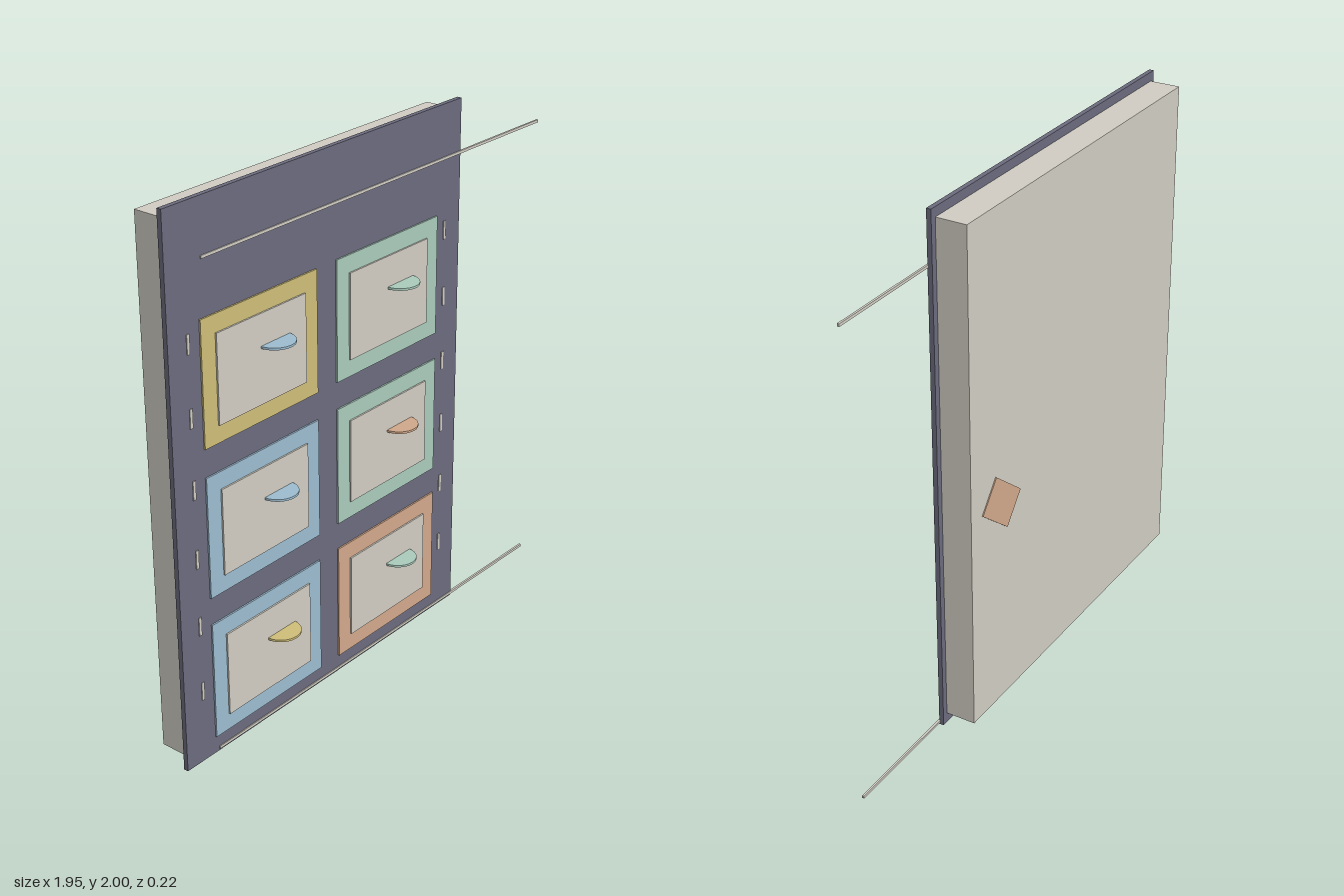
import * as THREE from 'three';

const material = (name, color) => {
  const m = new THREE.MeshStandardMaterial({ color });
  m.name = name;
  return m;
};

export function createModel() {
  const model = new THREE.Group();
  model.name = 'drawerBook';

  const slate = material('slate', 0x6b6b7e);
  const cream = material('cream', 0xd2cec4);
  const yellow = material('yellow', 0xd0bf7a);
  const green = material('green', 0xabccbd);
  const blue = material('blue', 0x9dbdd0);
  const orange = material('orange', 0xd2a98b);

  // Box given by its x, y centre, size and z range
  const slab = (name, mat, x, y, w, h, z0, z1, parent = model) => {
    const mesh = new THREE.Mesh(new THREE.BoxGeometry(w, h, z1 - z0), mat);
    mesh.position.set(x, y, (z0 + z1) / 2);
    mesh.name = name;
    parent.add(mesh);
    return mesh;
  };

  // Page block and front cover
  slab('pageBlock', cream, -0.239, 1.003, 1.432, 1.925, -0.105, 0.01);
  slab('cover', slate, -0.2375, 1, 1.475, 2, 0.01, 0.028);

  // Ribbons reaching past the cover's edge
  for (const y of [1.805, 0.012]) {
    slab('ribbon', cream, 0.0775, y, 1.795, 0.01, 0.024, 0.032);
  }

  // Stitches down both sides
  for (const x of [-0.888, 0.413]) {
    for (let i = 0; i < 6; i++) {
      slab('stitch', cream, x, 1.54 - i * 0.2525, 0.012, 0.068, 0.026, 0.031);
    }
  }

  // Half-disc pull tab lying flat, round side forward
  const tabGeometry = new THREE.CylinderGeometry(0.07, 0.07, 0.008, 32, 1, false, -Math.PI / 2, Math.PI);

  // Six drawers: [frame colour, tab colour]
  const drawers = [
    [[yellow, blue], [green, green]],
    [[blue, blue], [green, orange]],
    [[blue, yellow], [orange, green]],
  ];
  drawers.forEach((row, r) => row.forEach(([frameMat, tabMat], c) => {
    const drawer = new THREE.Group();
    drawer.name = 'drawer';
    drawer.position.set(-0.561 + c * 0.651, 1.383 - r * 0.5475, 0);
    slab('frame', frameMat, 0, 0, 0.55, 0.445, 0.026, 0.034, drawer);
    slab('panel', cream, 0, 0, 0.424, 0.318, 0.032, 0.04, drawer);
    const tab = new THREE.Mesh(tabGeometry, tabMat);
    tab.name = 'pullTab';
    tab.position.set(0.06, 0.042, 0.038);
    drawer.add(tab);
    model.add(drawer);
  }));

  // Tilted patch on the back
  const patch = slab('backPatch', orange, 0.286, 0.865, 0.203, 0.14, -0.109, -0.104);
  patch.rotation.z = 0.68;

  return model;
}
